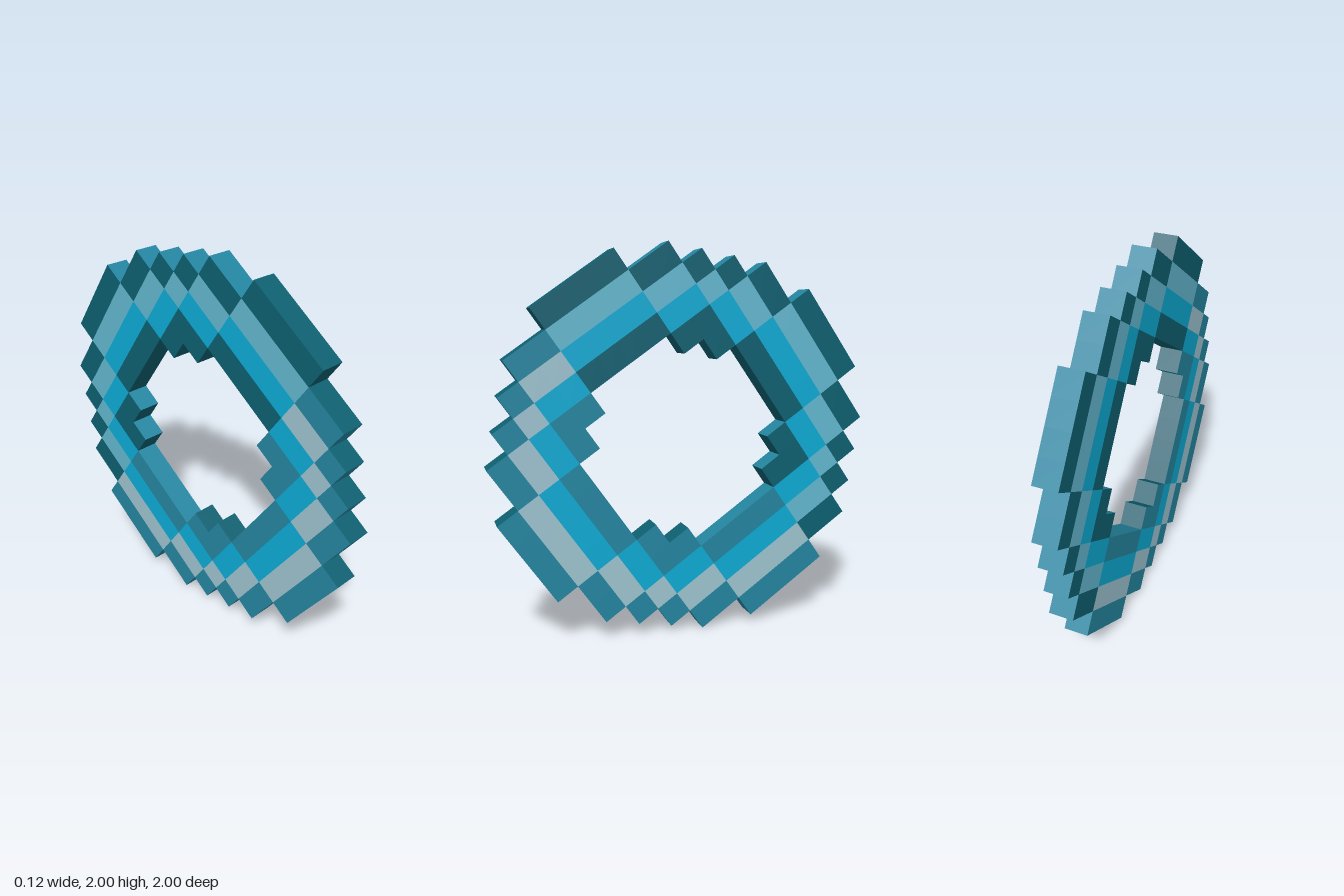
import * as THREE from 'three';
import { mergeGeometries } from 'three/addons/utils/BufferGeometryUtils.js';

const N = 16, CELL = 0.1246, TILT = THREE.MathUtils.degToRad(35);

// One quarter of the ring: O outer rim, L light band, C cyan band, I inner rim
const QUARTER = [
  '......OO',
  '....OOLL',
  '...OLLCC',
  '..OLCCII',
  '.OLCII..',
  '.OLCI...',
  'OLCI....',
  'OLCI....',
];
const PARTS = { O: 'outerRim', L: 'lightBand', C: 'cyanBand', I: 'innerRim' };

const mat = (name, color) => {
  const m = new THREE.MeshStandardMaterial({ color });
  m.name = name;
  return m;
};

// Cell letter with four-way mirroring; '.' outside the ring
function cellAt(c, r) {
  if (c < 0 || r < 0 || c >= N || r >= N) return '.';
  return QUARTER[Math.min(r, N - 1 - r)][Math.min(c, N - 1 - c)];
}

// The right and top parts of the ring use the deeper shades
function isDeep(c, r) {
  if (c <= 5) return false;
  if (c >= 10) return true;
  return r < 8;
}

export function createModel() {
  const rim = [mat('teal', 0x2486a1), mat('deepTeal', 0x0d6071)];
  const band = [mat('paleGrey', 0x9ec4d1), mat('paleBlue', 0x64b8d1)];
  const cyan = mat('cyan', 0x0dabd5);
  const palette = { O: rim, I: rim, L: band, C: [cyan, cyan] };

  // Collect square faces by part and colour
  const buckets = new Map();
  const addFace = (letter, deep, x, y, turn) => {
    const material = palette[letter][deep ? 1 : 0];
    const key = letter + material.name;
    if (!buckets.has(key)) buckets.set(key, { letter, material, faces: [] });
    const g = new THREE.PlaneGeometry(CELL, CELL).translate(0, 0, CELL / 2);
    turn(g);
    buckets.get(key).faces.push(g.translate(x, y, 0));
  };

  for (let r = 0; r < N; r++) {
    for (let c = 0; c < N; c++) {
      const letter = cellAt(c, r);
      if (letter === '.') continue;
      const x = (c + 0.5 - N / 2) * CELL, y = (N / 2 - r - 0.5) * CELL;
      const own = isDeep(c, r), flipped = isDeep(N - 1 - c, r);
      // Broad faces
      addFace(letter, own, x, y, (g) => g);
      addFace(letter, own, x, y, (g) => g.rotateY(Math.PI));
      // Stepped edges, only where the neighbouring cell is empty
      if (cellAt(c + 1, r) === '.') addFace(letter, flipped, x, y, (g) => g.rotateY(Math.PI / 2));
      if (cellAt(c - 1, r) === '.') addFace(letter, own, x, y, (g) => g.rotateY(-Math.PI / 2));
      if (cellAt(c, r - 1) === '.') addFace(letter, flipped, x, y, (g) => g.rotateX(-Math.PI / 2));
      if (cellAt(c, r + 1) === '.') addFace(letter, own, x, y, (g) => g.rotateX(Math.PI / 2));
    }
  }

  // Ring stands upright, facing sideways and tilted in its own plane
  const ring = new THREE.Group();
  ring.name = 'steppedRing';
  ring.rotation.set(0, Math.PI / 2, TILT);
  ring.position.y = 1;
  for (const { letter, material, faces } of buckets.values()) {
    const mesh = new THREE.Mesh(mergeGeometries(faces), material);
    mesh.name = `${PARTS[letter]} ${material.name}`;
    ring.add(mesh);
  }

  const model = new THREE.Group();
  model.name = 'blockRing';
  model.add(ring);
  return model;
}
